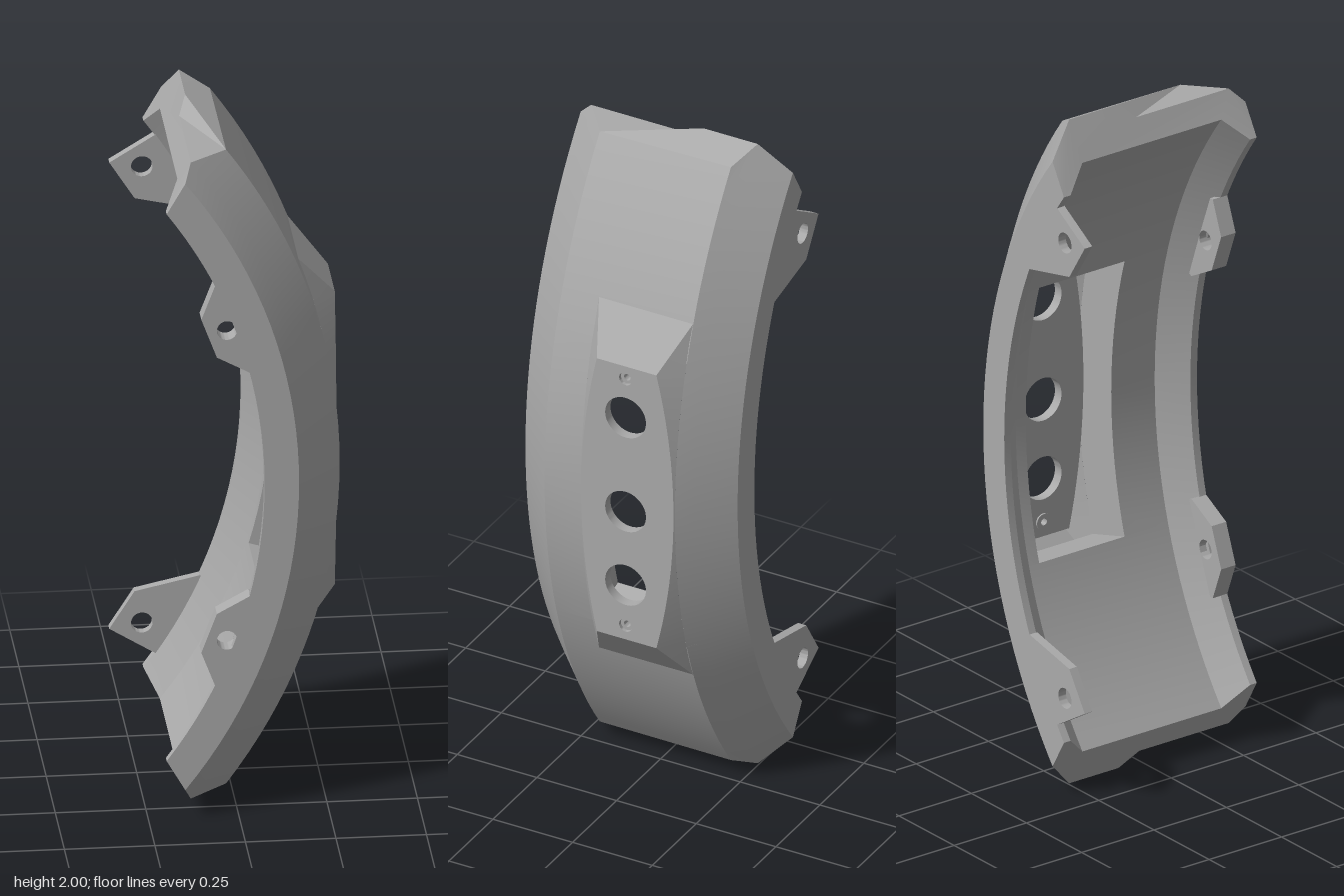
import * as THREE from 'three';
import { toCreasedNormals } from 'three/addons/utils/BufferGeometryUtils.js';

const CX = -1.31, DEG = Math.PI / 180, POCKET = 16.6, FACE_X = 0.293, OUTER = 1.6;

// Point from radius, z and angle about the arc centre
const polar = (r, z, a) => [CX + r * Math.cos(a * DEG), 1 + r * Math.sin(a * DEG), z];

// Collects triangles of the upper half and mirrors them to the lower half
class Builder {
  pos = [];
  tri(a, b, c) {
    const m = ([x, y, z]) => [x, 2 - y, z];
    this.pos.push(...a, ...b, ...c, ...m(a), ...m(c), ...m(b));
  }
  quad(a, b, c, d) { this.tri(a, b, c); this.tri(a, c, d); }
  // Sweeps a section of [radius, z, end angle] from angle a0 up to its own end angles
  sweep(section, a0, steps) {
    const at = (p, k) => polar(p[0], p[1], a0 + (p[2] - a0) * k / steps);
    section.forEach((p, i) => {
      const q = section[(i + 1) % section.length];
      for (let k = 0; k < steps; k++) this.quad(at(p, k), at(q, k), at(q, k + 1), at(p, k + 1));
    });
  }
  mesh(name, material) {
    const g = new THREE.BufferGeometry();
    g.setAttribute('position', new THREE.Float32BufferAttribute(this.pos, 3));
    const m = new THREE.Mesh(toCreasedNormals(g, 0.3), material);
    m.name = name;
    return m;
  }
}

export function createModel() {
  const group = new THREE.Group();
  group.name = 'curvedCover';
  const grey = new THREE.MeshStandardMaterial({ color: 0xaaaaaa, side: THREE.DoubleSide });
  grey.name = 'grey';

  // Section corners: radius, z, angle at which the end is cut
  const A = [1.38, 0.333, 36.5], B = [1.475, 0.333, 38.1], C = [1.518, 0.29, 38.98];
  const D = [OUTER, 0.204, 36.5], E = [OUTER, -0.206, 36.7], F = [1.562, -0.245, 39.75];
  const G = [1.475, -0.333, 38.1], H = [1.38, -0.333, 36.5];
  const h1 = [1.38, -0.31, 36.5], h2 = [1.45, -0.24, 37.65], h3 = [1.45, 0.24, 37.65], h4 = [1.38, 0.31, 36.5];
  const P = [1.518, -0.03, 38.98], Q = [1.562, -0.075, 39.75];
  const end = (p) => polar(...p);

  // Curved body: solid ends, and two rails beside the central pocket
  const body = new Builder();
  body.sweep([A, B, C, D, E, F, G, H, h1, h2, h3, h4], POCKET, 10);
  const zf = 0.09, zb = -0.205;
  const rail = (pts) => body.sweep(pts.map(([r, z]) => [r, z, POCKET]), 0, 8);
  rail([A, B, C, D, [OUTER, zf], [1.45, zf], h3, h4]);
  rail([[1.45, zb], [OUTER, zb], F, G, H, h1, h2]);
  body.quad(polar(1.45, zf, POCKET), polar(1.45, zb, POCKET), polar(OUTER, zb, POCKET), polar(OUTER, zf, POCKET));

  // End faces with their bevelled tips
  const cap = [A, B, C, P, Q, F, G, H, h1, h2, h3, h4];
  const flat = cap.map(([r, z]) => new THREE.Vector2(z, r));
  for (const t of THREE.ShapeUtils.triangulateShape(flat, [])) body.tri(...t.map((i) => end(cap[i])));
  for (const t of [[C, D, P], [P, D, Q], [Q, D, E], [Q, E, F]]) body.tri(...t.map(end));
  group.add(body.mesh('body', grey));

  // Sloped surround rising from the body to the flat face plate
  const arcX = (y) => CX + Math.sqrt(OUTER * OUTER - (y - 1) ** 2);
  const base = (y, z) => [arcX(y), y, z];
  const topF = (y) => [FACE_X, y, zf - 0.8 * (FACE_X - arcX(y))];
  const topB = (y) => [FACE_X, y, zb + 0.87 * (FACE_X - arcX(y))];
  const surround = new Builder(), N = 10, yEnd = 1.44, yLow = 1.565;
  const ys = Array.from({ length: N + 1 }, (_, i) => 1 + (yEnd - 1) * i / N);
  for (let i = 0; i < N; i++) {
    const a = ys[i], b = ys[i + 1];
    surround.quad(base(a, zf), topF(a), topF(b), base(b, zf));
    surround.quad(base(a, zb), base(b, zb), topB(b), topB(a));
  }
  surround.quad(topF(yEnd), topB(yEnd), base(yLow, zb), base(yLow, zf));
  surround.tri(base(yEnd, zf), topF(yEnd), base(yLow, zf));
  surround.tri(base(yEnd, zb), base(yLow, zb), topB(yEnd));
  group.add(surround.mesh('plateSurround', grey));

  const circle = (x, y, r) => new THREE.Path().absarc(x, y, r, 0, Math.PI * 2, true);
  const addExtrude = (name, shape, depth) => {
    const g = new THREE.ExtrudeGeometry(shape, { depth, bevelEnabled: false, curveSegments: 24 });
    const m = new THREE.Mesh(toCreasedNormals(g, 0.4), grey);
    m.name = name;
    group.add(m);
    return m;
  };

  // Face plate with three large holes and two screw holes
  const all = [...ys.slice(1).reverse().map((y) => 2 - y), ...ys];
  const edge = (f) => all.map((y) => {
    const p = f(y);
    return new THREE.Vector2(-p[2], y);
  });
  const plateShape = new THREE.Shape([...edge(topB), ...edge(topF).reverse()]);
  const HOLE_U = 0.052;
  for (const y of [0.735, 0.972, 1.275]) plateShape.holes.push(circle(HOLE_U, y, 0.064));
  for (const y of [0.605, 1.4]) plateShape.holes.push(circle(HOLE_U, y, 0.02));
  const plate = addExtrude('facePlate', plateShape, 0.03);
  plate.rotation.y = Math.PI / 2;
  plate.position.x = FACE_X - 0.03;

  // Recessed screw seats
  for (const y of [0.605, 1.4]) {
    const ring = new THREE.Shape().absarc(HOLE_U, y, 0.024, 0, Math.PI * 2);
    ring.holes.push(circle(HOLE_U, y, 0.01));
    const seat = addExtrude('screwSeat', ring, 0.025);
    seat.rotation.y = Math.PI / 2;
    seat.position.x = FACE_X - 0.035;
  }

  // Mounting tabs, mirrored top and bottom
  const tab = (name, pts, hole, z, depth) => {
    for (const up of [true, false]) {
      const fy = (y) => (up ? y : 2 - y);
      const shape = new THREE.Shape(pts.map(([x, y]) => new THREE.Vector2(x, fy(y))));
      shape.holes.push(circle(hole[0], fy(hole[1]), hole[2]));
      addExtrude(name, shape, depth).position.z = z;
    }
  };
  tab('frontTab', [[-0.067, 1.6], [-0.105, 1.5], [-0.062, 1.385], [0.03, 1.335], [0.04, 1.34], [-0.055, 1.6]],
    [-0.034, 1.465, 0.028], 0.283, 0.05);
  tab('backBracket', [[-0.295, 1.7], [-0.17, 1.777], [-0.14, 1.79], [-0.03, 1.56], [-0.045, 1.55], [-0.225, 1.59]],
    [-0.205, 1.685, 0.03], -0.333, 0.026);

  return group;
}
